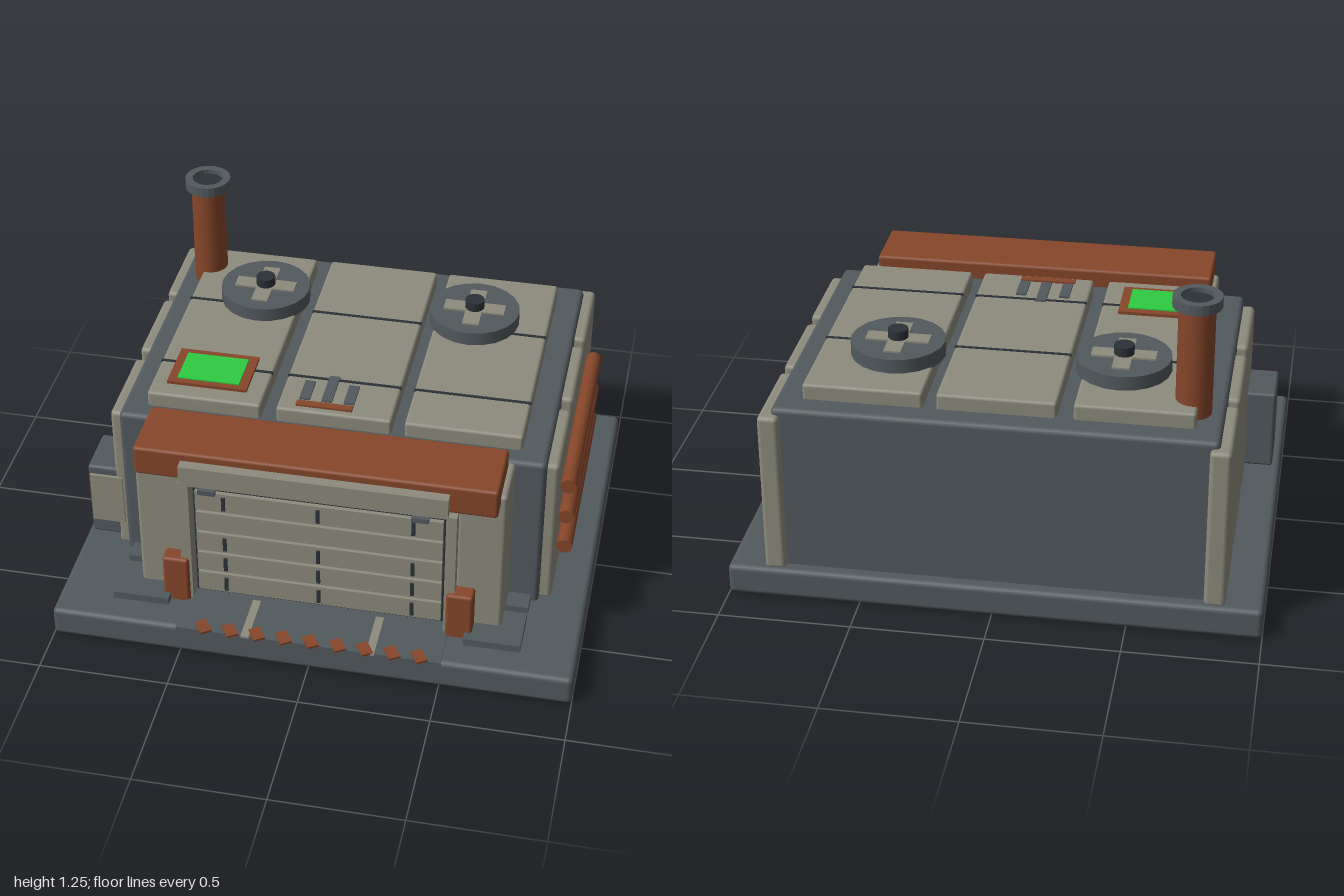
import * as THREE from 'three';
import { RoundedBoxGeometry } from 'three/addons/geometries/RoundedBoxGeometry.js';

const paint = (name, color) => {
  const m = new THREE.MeshStandardMaterial({ color });
  m.name = name;
  return m;
};

export function createModel() {
  const slate = paint('slate', 0x525a5e);
  const beige = paint('beige', 0x8e8c7e);
  const rust = paint('rust', 0x86462a);
  const dark = paint('dark', 0x2b3237);
  const green = paint('green', 0x2ecc40);

  const model = new THREE.Group();
  model.name = 'garage';

  const add = (name, geometry, material, x, y, z, parent = model) => {
    const mesh = new THREE.Mesh(geometry, material);
    mesh.name = name;
    mesh.position.set(x, y, z);
    parent.add(mesh);
    return mesh;
  };
  // Box given by its extents; r > 0 rounds the edges
  const box = (name, material, [x0, x1], [y0, y1], [z0, z1], r = 0) => {
    const size = [x1 - x0, y1 - y0, z1 - z0];
    const geometry = r ? new RoundedBoxGeometry(...size, 2, r) : new THREE.BoxGeometry(...size);
    return add(name, geometry, material, (x0 + x1) / 2, (y0 + y1) / 2, (z0 + z1) / 2);
  };
  // The same box on both sides
  const pair = (name, material, [x0, x1], y, z, r) => {
    box(name + 'Left', material, [x0, x1], y, z, r);
    box(name + 'Right', material, [-x1, -x0], y, z, r);
  };

  // Base slab and main body
  box('base', slate, [-1, 1], [0, 0.12], [-0.85, 0.815], 0.02);
  box('body', slate, [-0.815, 0.815], [0.1, 0.78], [-0.8, 0.4], 0.02);

  // Side wall panels
  for (const z of [[-0.83, -0.47], [-0.425, -0.06], [0, 0.365]])
    pair('wallPanel', beige, [0.78, 0.86], [0.11, 0.755], z, 0.018);

  // Roof panels with dark seams
  for (const x of [[-0.72, -0.28], [-0.22, 0.22], [0.27, 0.715]]) {
    box('roofPanel', beige, x, [0.76, 0.84], [-0.71, 0.325], 0.012);
    for (const z of [-0.33, 0.11])
      box('roofSeam', dark, x, [0.834, 0.843], [z - 0.006, z + 0.006]);
  }

  // Roof fans
  for (const x of [-0.425, 0.42]) {
    const fan = new THREE.Group();
    fan.name = 'roofFan';
    fan.position.set(x, 0, -0.4);
    model.add(fan);
    add('fanHousing', new THREE.CylinderGeometry(0.178, 0.178, 0.06, 20), slate, 0, 0.865, 0, fan);
    add('fanBladeLong', new THREE.BoxGeometry(0.24, 0.012, 0.065), beige, 0, 0.896, 0, fan);
    add('fanBladeCross', new THREE.BoxGeometry(0.065, 0.011, 0.24), beige, 0, 0.896, 0, fan);
    add('fanHub', new THREE.CylinderGeometry(0.038, 0.038, 0.045, 14), dark, 0, 0.915, 0, fan);
  }

  // Chimney with an open cap
  const cap = [[0.06, 1.21], [0.09, 1.21], [0.09, 1.25], [0.06, 1.25], [0.06, 1.21]]
    .map(([x, y]) => new THREE.Vector2(x, y));
  const capFlat = new THREE.LatheGeometry(cap, 24).toNonIndexed();
  capFlat.computeVertexNormals();
  add('chimneyPipe', new THREE.CylinderGeometry(0.067, 0.067, 0.44, 24), rust, -0.7, 1.005, -0.59);
  add('chimneyCap', capFlat, slate, -0.7, 0, -0.59);
  add('chimneyMouth', new THREE.CylinderGeometry(0.061, 0.061, 0.02, 24), dark, -0.7, 1.222, -0.59);

  // Roof screen
  box('screenFrame', rust, [-0.66, -0.35], [0.835, 0.852], [0.035, 0.255]);
  box('screen', green, [-0.625, -0.385], [0.85, 0.857], [0.065, 0.23]);

  // Roof emblem of plain bars
  for (const [x, z] of [[-0.125, 0.14], [-0.04, 0.095], [0.045, 0.14]])
    box('roofBar', slate, [x - 0.02, x + 0.02], [0.836, 0.848], [z, 0.255]);
  box('roofBarFoot', rust, [-0.15, 0.065], [0.836, 0.848], [0.268, 0.298]);

  // Door surround
  pair('doorColumn', beige, [0.52, 0.7], [0.11, 0.77], [0.38, 0.6], 0.015);
  box('doorBacking', slate, [-0.53, 0.53], [0.11, 0.75], [0.38, 0.59]);
  pair('doorTrim', beige, [0.485, 0.525], [0.12, 0.68], [0.57, 0.645]);
  pair('doorPost', rust, [0.495, 0.597], [0.11, 0.32], [0.57, 0.662], 0.012);

  // Door slats, dark gaps and latches
  box('doorGaps', dark, [-0.48, 0.48], [0.13, 0.64], [0.58, 0.595]);
  for (let i = 0; i < 5; i++) {
    const y = 0.147 + i * 0.098;
    box('doorSlat', beige, [-0.47, 0.47], [y, y + 0.086], [0.58, 0.612]);
    if (i !== 3)
      for (const x of [-0.36, 0, 0.36])
        box('doorLatch', dark, [x - 0.007, x + 0.007], [y + 0.012, y + 0.072], [0.61, 0.619]);
  }

  // Awning, sign board and brackets
  box('awning', rust, [-0.68, 0.675], [0.722, 0.842], [0.405, 0.67], 0.012);
  box('awningBoard', beige, [-0.5, 0.5], [0.725, 0.81], [0.66, 0.71]);
  pair('awningLamp', slate, [0.365, 0.43], [0.69, 0.71], [0.69, 0.708]);

  // Entry ramp with guide strips and warning blocks
  box('ramp', slate, [-0.51, 0.505], [0.09, 0.126], [0.58, 0.822]);
  for (const x of [-0.24, 0.24])
    box('rampStrip', beige, [x - 0.016, x + 0.016], [0.122, 0.131], [0.62, 0.828]);
  for (let i = 0; i < 9; i++) {
    const block = add('warningBlock', new THREE.BoxGeometry(0.045, 0.009, 0.065), rust,
      -0.405 + i * 0.1035, 0.13, 0.805);
    block.rotation.y = i < 4.5 ? 0.5 : -0.5;
    block.rotation.y = 0.55;
  }

  // Floor plates beside the door
  pair('floorPlate', slate, [0.57, 0.787], [0.11, 0.15], [0.51, 0.7]);
  pair('floorStep', slate, [0.57, 0.787], [0.11, 0.15], [0.39, 0.48]);

  // Utility box on the right wall
  box('utilityBox', slate, [-0.97, -0.84], [0.15, 0.475], [0.15, 0.36], 0.012);
  box('utilityDoor', beige, [-0.96, -0.83], [0.22, 0.44], [0.35, 0.372]);

  // Pipes along the left wall
  for (const y of [0.3, 0.445, 0.592]) {
    const pipe = add('wallPipe', new THREE.CylinderGeometry(0.031, 0.031, 0.85, 16), rust, 0.89, y, -0.155);
    pipe.rotation.x = Math.PI / 2;
  }

  return model;
}
